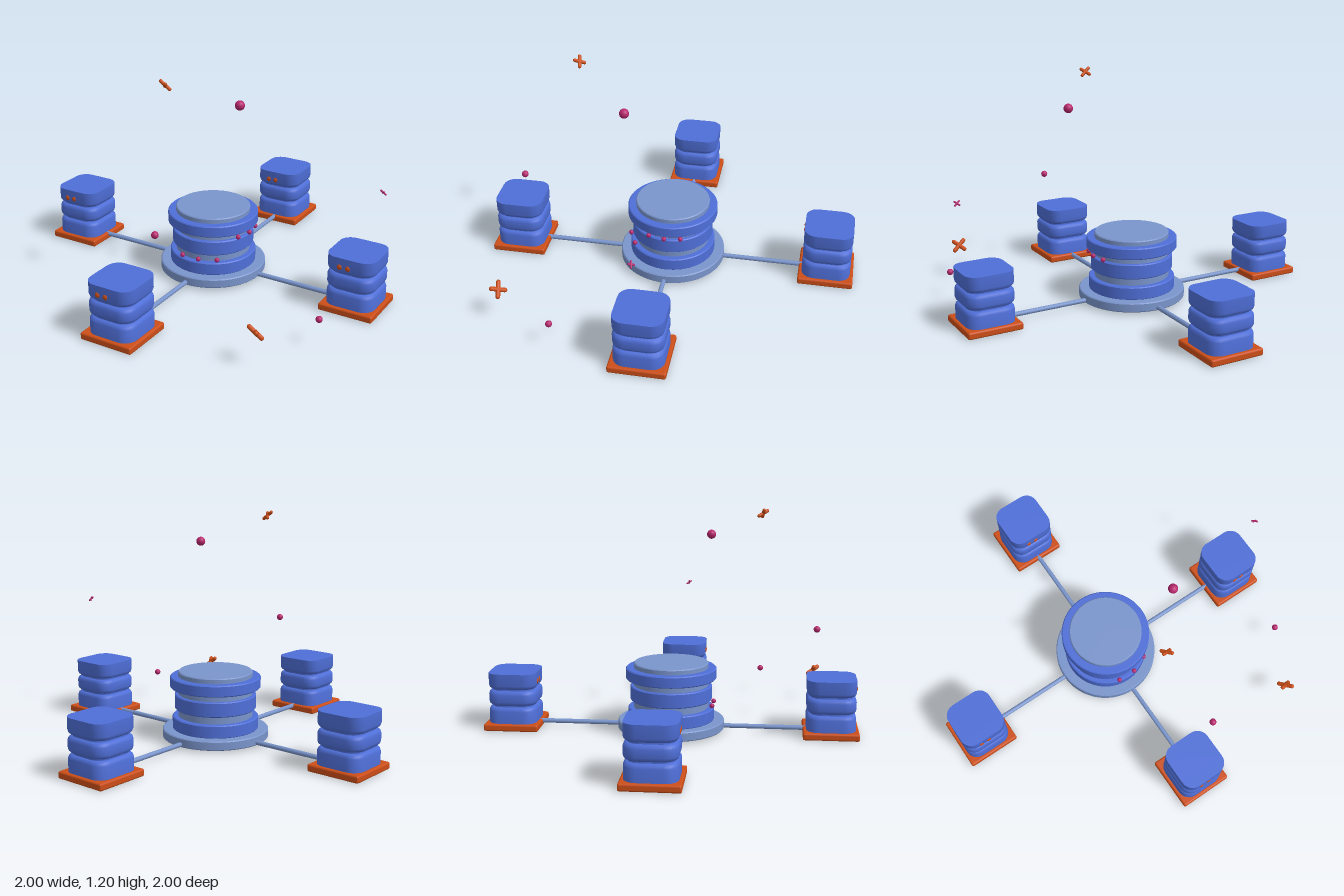
import * as THREE from 'three';
import { toCreasedNormals } from 'three/addons/utils/BufferGeometryUtils.js';
import { RoundedBoxGeometry } from 'three/addons/geometries/RoundedBoxGeometry.js';

const material = (color) => new THREE.MeshStandardMaterial({ color });
const blue = material(0x4f6fd8);
const paleBlue = material(0x7a95cc);
const orange = material(0xcc4e18);
const magenta = material(0xb8286e);

function add(parent, name, geometry, mat, x = 0, y = 0, z = 0) {
  const mesh = new THREE.Mesh(geometry, mat);
  mesh.name = name;
  mesh.position.set(x, y, z);
  parent.add(mesh);
  return mesh;
}

// Stack of rounded squares, one per [half width, height], closed at both ends
function roundedSquareLoft(profile, corner) {
  const steps = 6, ring = 4 * (steps + 1);
  const positions = [], index = [];
  for (const [half, y] of profile) {
    for (let q = 0; q < 4; q++) {
      for (let s = 0; s <= steps; s++) {
        const a = (q + s / steps) * Math.PI / 2;
        const mid = (q + 0.5) * Math.PI / 2;
        const c = (half - corner) * Math.SQRT2;
        positions.push(
          Math.cos(mid) * c + Math.cos(a) * corner, y,
          Math.sin(mid) * c + Math.sin(a) * corner);
      }
    }
  }
  for (let l = 0; l < profile.length - 1; l++) {
    for (let i = 0; i < ring; i++) {
      const a = l * ring + i, b = l * ring + (i + 1) % ring;
      index.push(a, a + ring, b, b, a + ring, b + ring);
    }
  }
  const top = (profile.length - 1) * ring;
  for (let i = 1; i < ring - 1; i++) {
    index.push(0, i, i + 1, top, top + i + 1, top + i);
  }
  const geometry = new THREE.BufferGeometry();
  geometry.setAttribute('position', new THREE.Float32BufferAttribute(positions, 3));
  geometry.setIndex(index);
  return toCreasedNormals(geometry, 0.7);
}

// Three stacked units with rounded edges and grooves between them
function cabinetGeometry() {
  const profile = [[0.13, 0.03]];
  for (const groove of [0.13, 0.22]) {
    profile.push(
      [0.13, groove - 0.026], [0.127, groove - 0.014], [0.12, groove - 0.006], [0.112, groove - 0.004],
      [0.112, groove + 0.004], [0.12, groove + 0.006], [0.127, groove + 0.014], [0.13, groove + 0.026]);
  }
  profile.push([0.13, 0.31]);
  return roundedSquareLoft(profile, 0.065);
}

// Solid disc with a slightly eased rim
function disc(radius, bottom, top) {
  const e = 0.005;
  const points = [
    [0, bottom], [radius - e, bottom], [radius, bottom + e],
    [radius, top - e], [radius - e, top], [0, top],
  ].map(([x, y]) => new THREE.Vector2(x, y));
  return toCreasedNormals(new THREE.LatheGeometry(points, 64), 0.6);
}

export function createModel() {
  const model = new THREE.Group();
  model.name = 'serverNetwork';

  // Central tower: a pale core with blue rings around it
  const tower = new THREE.Group();
  tower.name = 'tower';
  model.add(tower);
  add(tower, 'towerBase', disc(0.285, 0.012, 0.062), paleBlue);
  add(tower, 'towerCore', disc(0.2, 0.03, 0.373), paleBlue);
  add(tower, 'lowerRing', disc(0.231, 0.06, 0.13), blue);
  add(tower, 'middleRing', disc(0.219, 0.17, 0.25), blue);
  add(tower, 'upperRing', disc(0.243, 0.285, 0.346), blue);

  // Status lights in the two gaps of the tower
  const lightGeometry = new THREE.SphereGeometry(0.013, 12, 8);
  const rows = [[0.15, [54, 79, 104]], [0.265, [24, 2, -20]]];
  for (const [y, angles] of rows) {
    for (const degrees of angles) {
      const a = THREE.MathUtils.degToRad(degrees);
      add(tower, 'towerLight', lightGeometry, magenta, Math.cos(a) * 0.23, y, Math.sin(a) * 0.23);
    }
  }

  // Four cabinets, all facing the front, each joined to the tower by a cable
  const cabinet = cabinetGeometry();
  const plinth = new RoundedBoxGeometry(0.295, 0.038, 0.295, 2, 0.01);
  const cable = new THREE.CylinderGeometry(0.0125, 0.0125, 0.5, 12);
  const eye = new THREE.SphereGeometry(0.016, 8, 6);
  for (const [dx, dz] of [[1, 0], [-1, 0], [0, 1], [0, -1]]) {
    const station = new THREE.Group();
    station.name = 'serverStation';
    station.position.set(dx * 0.8525, 0, dz * 0.8525);
    model.add(station);
    add(station, 'plinth', plinth, orange, 0, 0.019, 0);
    add(station, 'cabinet', cabinet, blue);
    for (const x of [-0.045, 0]) {
      add(station, 'cabinetLight', eye, orange, x, 0.26, 0.126).scale.z = 0.6;
    }
    const link = add(model, 'cable', cable, paleBlue, dx * 0.5, 0.027, dz * 0.5);
    link.rotation.set(dz * Math.PI / 2, 0, dx * Math.PI / 2);
  }

  // Floating balls
  const balls = [[0.27, 1.03, 0.195, 0.025], [0.148, 0.535, 0.775, 0.018], [0.863, 0.145, 0.465, 0.017]];
  for (const [x, y, z, r] of balls) {
    add(model, 'floatingBall', new THREE.SphereGeometry(r, 20, 14), magenta, x, y, z);
  }

  // Floating crosses, each of two rods lying in the same tilted plane
  const rodDirections = [new THREE.Vector3(0.75, -0.641, -0.163), new THREE.Vector3(0.52, 0.42, 0.742)];
  const up = new THREE.Vector3(0, 1, 0);
  const crosses = [
    [0.022, 1.168, 0.478, 0.075, orange],
    [0.692, 0.18, 0.778, 0.1, orange],
    [0.97, 0.655, 0.015, 0.04, magenta],
  ];
  for (const [x, y, z, length, mat] of crosses) {
    const cross = new THREE.Group();
    cross.name = 'floatingCross';
    cross.position.set(x, y, z);
    model.add(cross);
    const radius = length * 0.12;
    const rod = new THREE.CapsuleGeometry(radius, length - 2 * radius, 4, 10);
    for (const direction of rodDirections) {
      add(cross, 'crossRod', rod, mat).quaternion.setFromUnitVectors(up, direction.clone().normalize());
    }
  }

  return model;
}
